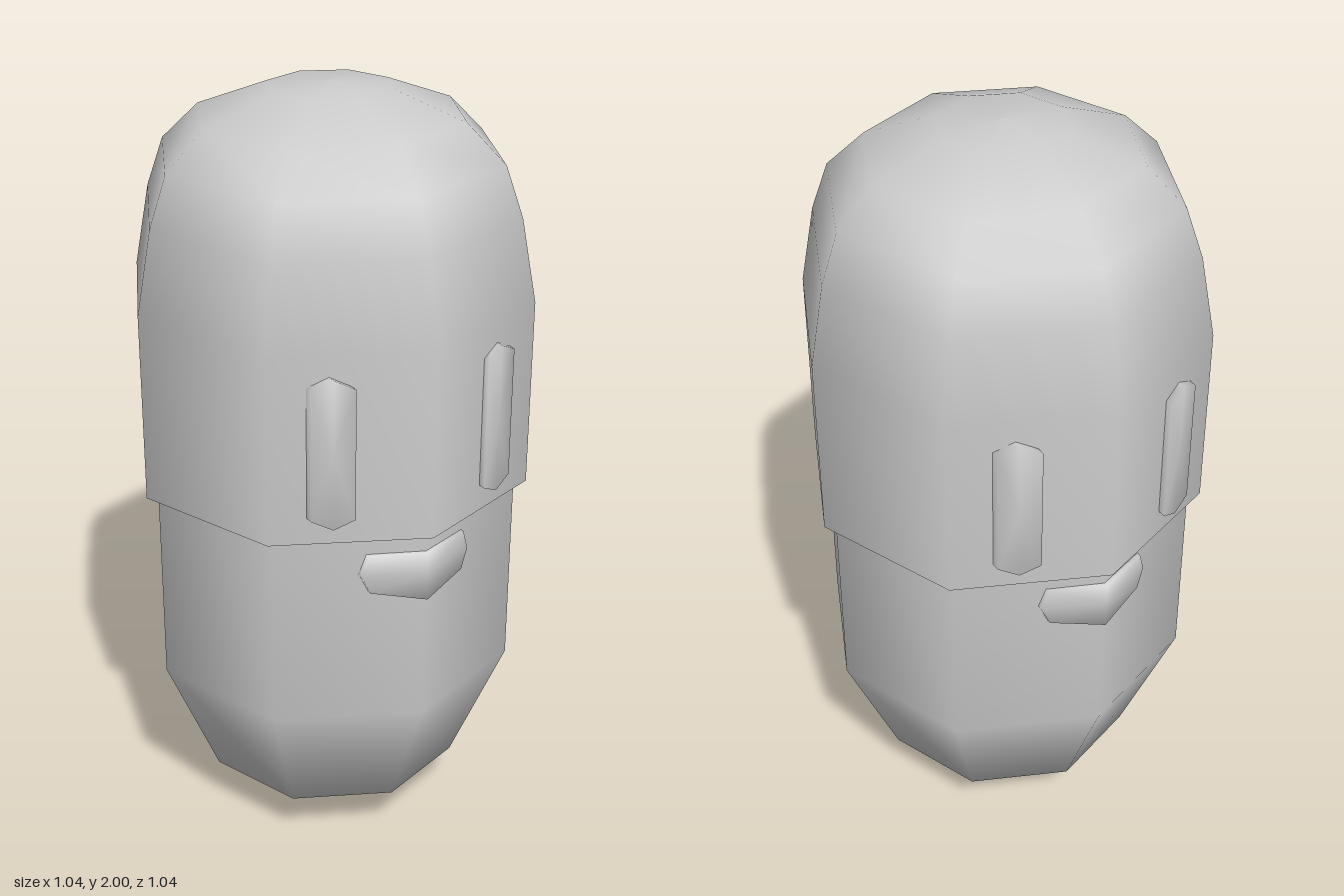
import * as THREE from 'three';

const SIDES = 8;
const SLOPE = Math.tan(Math.PI / 8); // how fast the front pair of facets falls back from the centre edge

const material = new THREE.MeshStandardMaterial({ color: 0xcccccc });

function addMesh(parent, name, geometry) {
  const mesh = new THREE.Mesh(geometry, material);
  mesh.name = name;
  parent.add(mesh);
  return mesh;
}

function lathe(points) {
  return new THREE.LatheGeometry(points.map(([r, y]) => new THREE.Vector2(r, y)), SIDES);
}

// Shallow raised pad that follows the facets of a shell of the given radius.
// The outline runs anticlockwise; side +1 is the front, -1 the back.
function pad(outline, [cx, cy], radius, thickness, side) {
  const n = outline.length;
  const positions = [];
  const index = [];
  const put = (x, y, lift) => positions.push(x, y, side * (radius - SLOPE * Math.abs(x) + lift));
  const tri = (a, b, c) => index.push(...(side > 0 ? [a, b, c] : [a, c, b]));

  outline.forEach(([x, y]) => put(x, y, -0.02));
  outline.forEach(([x, y]) => put(x, y, thickness));
  put(cx, cy, thickness);
  for (let i = 0; i < n; i++) {
    const j = (i + 1) % n;
    tri(i, j, n + j);
    tri(i, n + j, n + i);
    tri(n + i, n + j, 2 * n);
  }
  const geometry = new THREE.BufferGeometry();
  geometry.setAttribute('position', new THREE.Float32BufferAttribute(positions, 3));
  geometry.setIndex(index);
  geometry.computeVertexNormals();
  return geometry;
}

function eyeOutline(cx) {
  const w = 0.049;
  return [
    [cx, 1.05], [cx + w, 1.075], [cx + w, 1.41],
    [cx, 1.435], [cx - w, 1.41], [cx - w, 1.075],
  ];
}

const mouthOutline = [
  [0, 0.825], [0.13, 0.85], [0.152, 0.9], [0.135, 0.953],
  [0, 0.955], [-0.135, 0.953], [-0.152, 0.9], [-0.13, 0.85],
];

export function createModel() {
  const model = new THREE.Group();
  model.name = 'roundedHead';

  // Inner body, its upper end hidden in the cap
  addMesh(model, 'body', lathe([
    [0, 0], [0.347, 0.147], [0.49, 0.49], [0.49, 1.45], [0.347, 1.8], [0, 1.94],
  ]));

  // Domed outer cap and its underside rim
  const cap = new THREE.Group();
  cap.name = 'cap';
  model.add(cap);
  addMesh(cap, 'dome', lathe([
    [0.522, 1.005], [0.522, 1.49], [0.482, 1.7], [0.437, 1.826],
    [0.34, 1.92], [0.16, 1.988], [0, 2],
  ]));
  const rim = addMesh(cap, 'capRim', new THREE.RingGeometry(0.485, 0.522, SIDES));
  rim.rotation.x = Math.PI / 2;
  rim.position.y = 1.005;

  // The same face on front and back
  for (const side of [1, -1]) {
    const face = new THREE.Group();
    face.name = side > 0 ? 'frontFace' : 'backFace';
    model.add(face);
    addMesh(face, 'leftEye', pad(eyeOutline(0.222), [0.222, 1.2425], 0.522, 0.022, side));
    addMesh(face, 'rightEye', pad(eyeOutline(-0.233), [-0.233, 1.2425], 0.522, 0.022, side));
    addMesh(face, 'mouth', pad(mouthOutline, [0, 0.9], 0.49, 0.012, side));
  }

  return model;
}
